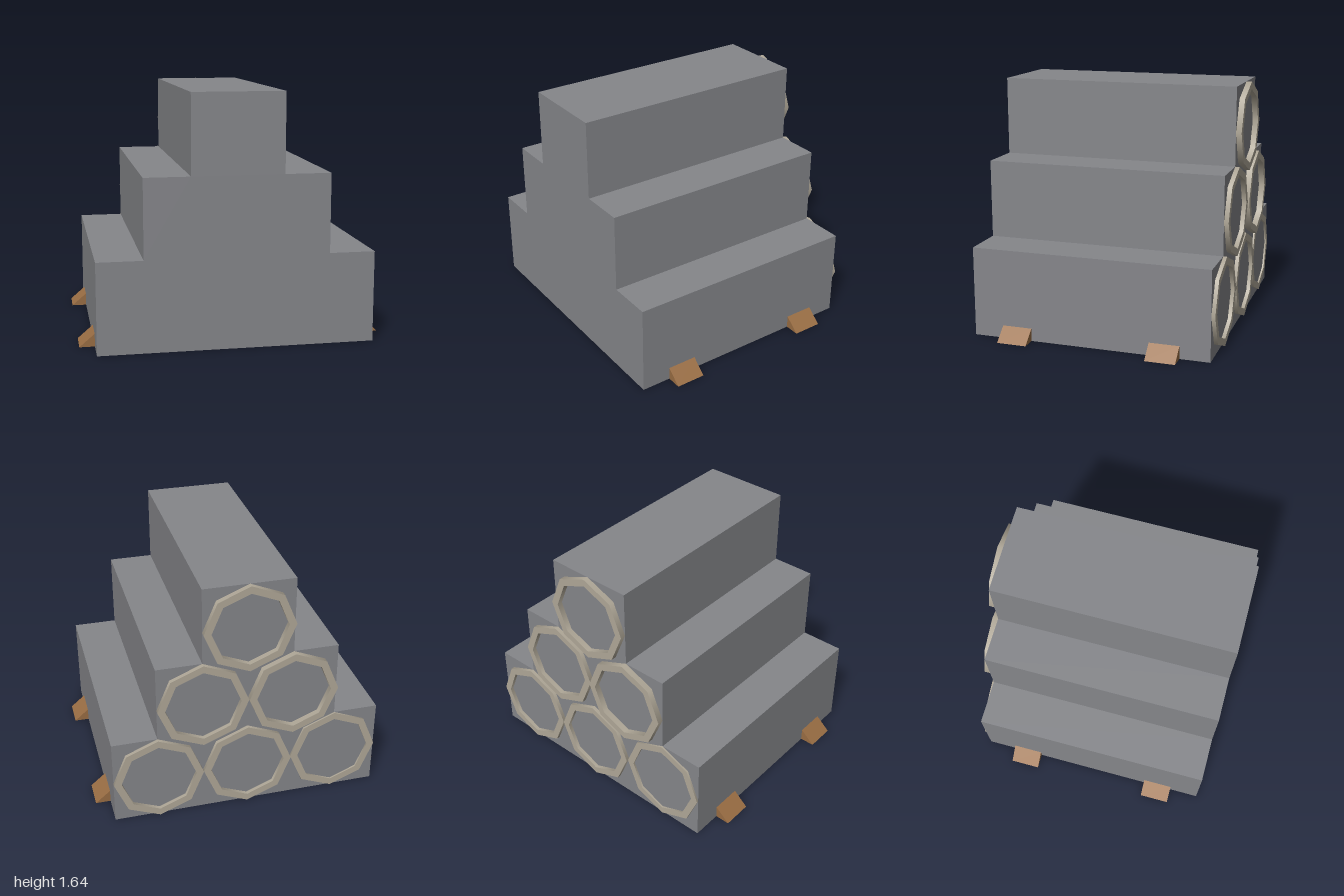
import * as THREE from 'three';
import { mergeGeometries } from 'three/addons/utils/BufferGeometryUtils.js';

const BACK = -0.78, FRONT = 0.82;

// Solid prism from a profile in x/y, running from z0 to z1
function prism(points, z0, z1) {
  const shape = new THREE.Shape(points.map(([x, y]) => new THREE.Vector2(x, y)));
  const g = new THREE.ExtrudeGeometry(shape, { depth: z1 - z0, bevelEnabled: false });
  return g.translate(0, 0, z0);
}

// Eight-sided pipe rim standing out from the back face by depth
function rimGeometry(outer, inner, depth) {
  const wall = (r) => new THREE.CylinderGeometry(r, r, depth, 8, 1, true)
    .rotateX(Math.PI / 2).translate(0, 0, BACK - depth / 2);
  const face = new THREE.RingGeometry(inner, outer, 8, 1)
    .rotateY(Math.PI).translate(0, 0, BACK - depth);
  return mergeGeometries([wall(outer), wall(inner), face]);
}

export function createModel() {
  const model = new THREE.Group();
  model.name = 'pipeStack';

  const grey = new THREE.MeshStandardMaterial({ color: 0x85868a });
  grey.name = 'grey';
  const concrete = new THREE.MeshStandardMaterial({ color: 0xb0a898, side: THREE.DoubleSide });
  concrete.name = 'concrete';
  const wood = new THREE.MeshStandardMaterial({ color: 0x996d43 });
  wood.name = 'wood';

  const add = (name, geometry, material) => {
    const mesh = new THREE.Mesh(geometry, material);
    mesh.name = name;
    model.add(mesh);
    return mesh;
  };

  // Stepped body
  const half = [[0.9, 0], [0.9, 0.6], [0.6, 0.6], [0.6, 1.12], [0.3, 1.12], [0.3, 1.64]];
  const mirrored = half.map(([x, y]) => [-x, y]).reverse();
  add('steppedBody', prism([...half, ...mirrored], BACK, FRONT), grey);

  // Pipe rims on the back: x, y, how far each stands out
  const rims = [
    [-0.6, 0.3, 0.012], [0, 0.3, 0.025], [0.6, 0.3, 0.025],
    [-0.3, 0.82, 0.04], [0.3, 0.82, 0.03],
    [0, 1.34, 0.037],
  ];
  for (const [x, y, depth] of rims) {
    add('pipeRim', rimGeometry(0.3, 0.25, depth), concrete).position.set(x, y, 0);
  }

  // Wooden wedges along both sides
  for (const z of [-0.48, 0.52]) {
    add('leftWedge', prism([[0.9, 0], [1, 0], [0.9, 0.085]], z - 0.1, z + 0.1), wood);
    add('rightWedge', prism([[-0.9, 0], [-0.9, 0.085], [-1, 0]], z - 0.1, z + 0.1), wood);
  }
  return model;
}
